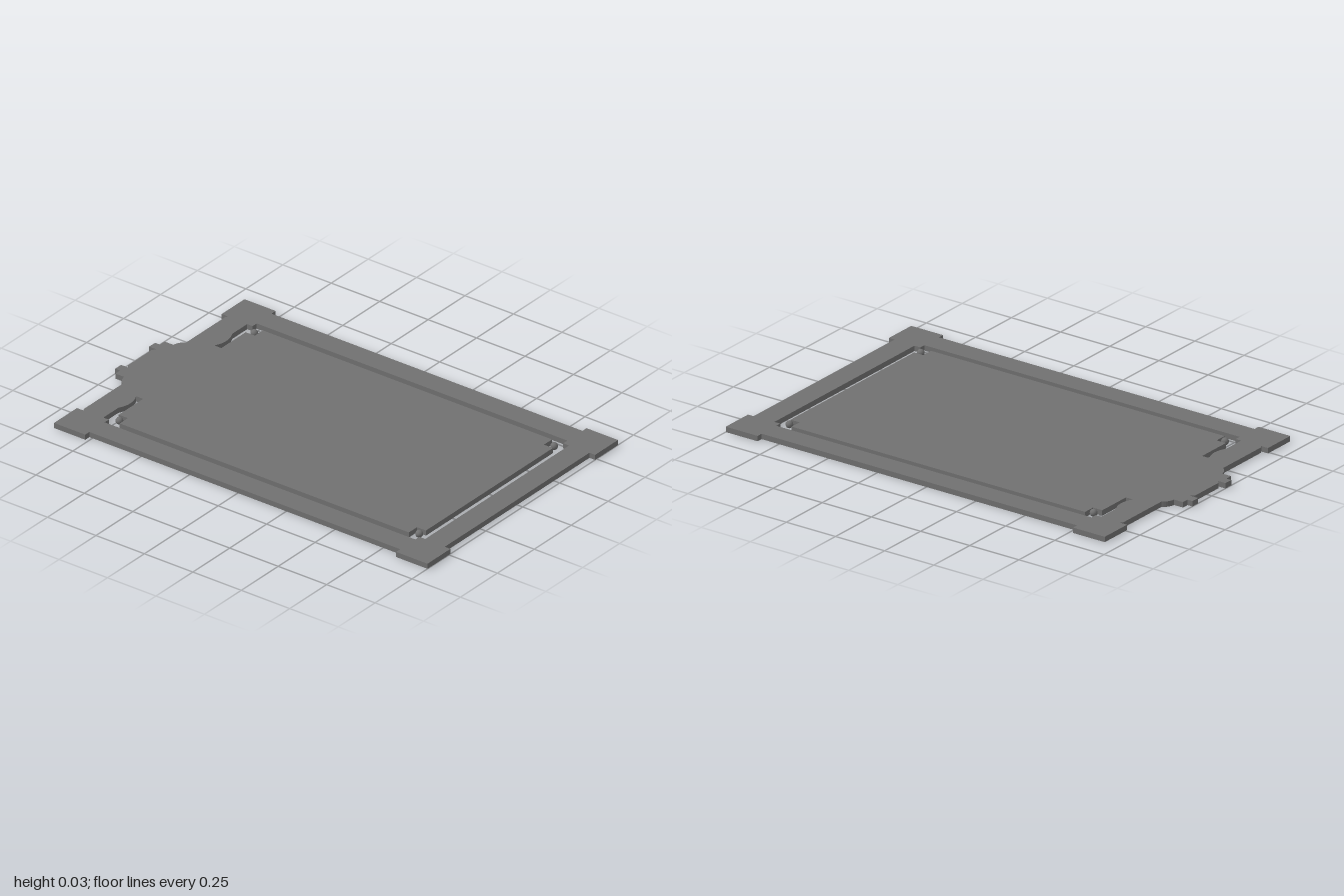
import * as THREE from 'three';

const THICKNESS = 0.024;

// Sampled curve bending from a to b through a control point
const bend = (a, c, b, n = 8) =>
  new THREE.QuadraticBezierCurve(new THREE.Vector2(...a), new THREE.Vector2(...c), new THREE.Vector2(...b))
    .getPoints(n).map((p) => [p.x, p.y]);

// Left-right mirror of a half outline, in reverse order
const mirrored = (pts) => pts.map(([x, z]) => [-x, z]).reverse();

// Plan coordinates (x, z) to the shape plane (x, -z)
const toShape = (pts) => pts.map(([x, z]) => new THREE.Vector2(x, -z));

export function createModel() {
  const model = new THREE.Group();
  const material = new THREE.MeshStandardMaterial({ color: 0x707070 });

  // Outer edge, from the crest at the back to the front rail
  const outerHalf = [
    [0.08, -0.975], [0.095, -0.96], [0.095, -1], [0.135, -1], [0.135, -0.975], [0.167, -0.975],
    ...bend([0.167, -0.93], [0.2, -0.925], [0.215, -0.9], 6),
    [0.478, -0.9], [0.49, -0.893], [0.49, -0.927], [0.645, -0.927], [0.645, -0.766],
    [0.617, -0.766], [0.617, 0.838], [0.645, 0.838], [0.645, 1],
    [0.49, 1], [0.49, 0.971],
  ];

  // Frame side of the gap, from the slot end beside the crest to the front
  const gapOuter = [
    ...bend([0.265, -0.793], [0.325, -0.759], [0.385, -0.793]),
    [0.487, -0.793], [0.487, -0.765], [0.515, -0.765],
    [0.515, 0.838], [0.487, 0.838], [0.487, 0.868],
  ];

  // Panel side of the gap, with square notches at its corners
  const gapInner = [
    [0.265, -0.757], [0.43, -0.757], [0.43, -0.71], [0.485, -0.71],
    [0.485, 0.782], [0.43, 0.782], [0.43, 0.828],
  ];

  // Framed panel: one flat plate pierced by the C-shaped gap
  const outline = [...outerHalf, ...mirrored(outerHalf)].reverse();
  const gap = [
    ...gapOuter, ...mirrored(gapOuter),
    ...mirrored(gapInner).reverse(), ...gapInner.slice().reverse(),
  ];
  const shape = new THREE.Shape(toShape(outline));
  shape.holes.push(new THREE.Path(toShape(gap)));
  const plateGeometry = new THREE.ExtrudeGeometry(shape, { depth: THICKNESS, bevelEnabled: false });
  plateGeometry.rotateX(-Math.PI / 2);
  const plate = new THREE.Mesh(plateGeometry, material);
  plate.name = 'framedPanel';
  model.add(plate);

  // Round studs in the four corner notches
  const studGeometry = new THREE.SphereGeometry(0.0165, 12, 8);
  for (const x of [-0.457, 0.457]) {
    for (const z of [-0.733, 0.814]) {
      const stud = new THREE.Mesh(studGeometry, material);
      stud.name = 'cornerStud';
      stud.position.set(x, 0.0167, z);
      model.add(stud);
    }
  }
  return model;
}
